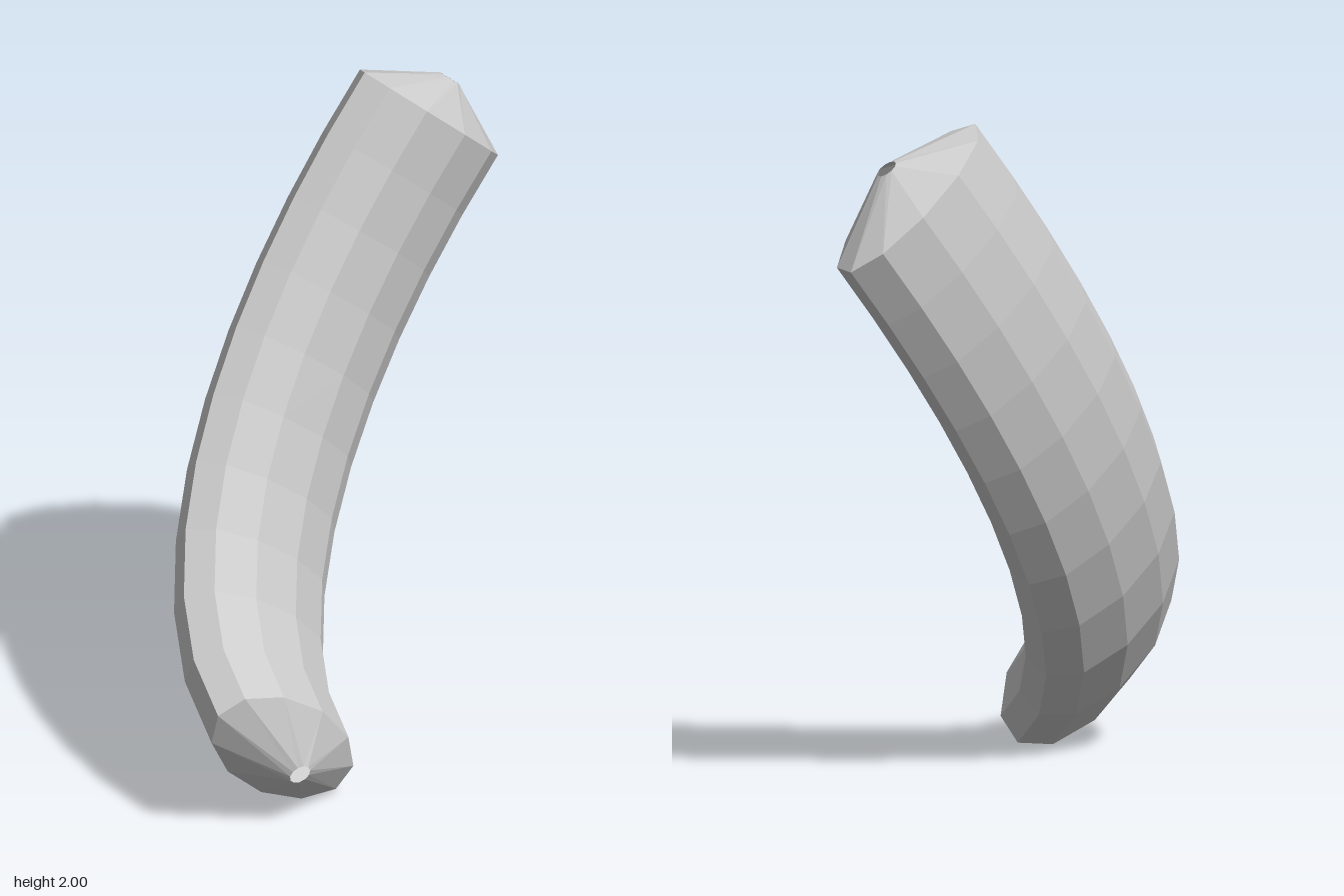
import * as THREE from 'three';

const SIDES = 11, SEGMENTS = 10;
const NARROW = 0.165, WIDE = 0.335, TIP = 0.034;

export function createModel() {
  // Centre line, bending in a single plane
  const start = new THREE.Vector3(-0.479, 0.226, 0.43);
  const end = new THREE.Vector3(0.5, 1.8, -0.376);
  const corner = new THREE.Vector3(-0.454, 0.583, -0.364);
  const path = new THREE.CubicBezierCurve3(
    start, start.clone().lerp(corner, 0.61), end.clone().lerp(corner, 0.61), end);
  const tangent0 = corner.clone().sub(start).normalize();
  const tangent1 = end.clone().sub(corner).normalize();
  const across = tangent0.clone().cross(tangent1).normalize();

  // Cross-sections: small tip, oval rings along the path, small tip
  const sections = [];
  const addSection = (centre, tangent, narrow, wide) =>
    sections.push({ centre, inward: across.clone().cross(tangent).normalize(), narrow, wide });

  addSection(start.clone().addScaledVector(tangent0, -0.12), tangent0, TIP, TIP);
  for (let i = 0; i <= SEGMENTS; i++) {
    const u = i / SEGMENTS;
    addSection(path.getPointAt(u), path.getTangentAt(u), NARROW, WIDE);
  }
  addSection(end.clone().addScaledVector(tangent1, 0.12), tangent1, TIP, TIP);

  const positions = [], index = [];
  for (const { centre, inward, narrow, wide } of sections) {
    for (let j = 0; j < SIDES; j++) {
      const a = (j / SIDES) * Math.PI * 2;
      const p = centre.clone()
        .addScaledVector(inward, Math.cos(a) * narrow)
        .addScaledVector(across, Math.sin(a) * wide);
      positions.push(p.x, p.y, p.z);
    }
  }

  // Skin between neighbouring sections; a small hole stays open at each tip
  for (let i = 0; i < sections.length - 1; i++) {
    for (let j = 0; j < SIDES; j++) {
      const k = (j + 1) % SIDES;
      const a = i * SIDES + j, b = i * SIDES + k;
      const c = b + SIDES, d = a + SIDES;
      index.push(a, b, c, a, c, d);
    }
  }

  const geometry = new THREE.BufferGeometry();
  geometry.setAttribute('position', new THREE.Float32BufferAttribute(positions, 3));
  geometry.setIndex(index);
  const flat = geometry.toNonIndexed();
  flat.computeVertexNormals();

  const body = new THREE.Mesh(flat, new THREE.MeshStandardMaterial({
    color: 0xcccccc, flatShading: true, side: THREE.DoubleSide }));
  body.name = 'curvedBody';

  const group = new THREE.Group();
  group.name = 'curvedPod';
  group.add(body);
  return group;
}
